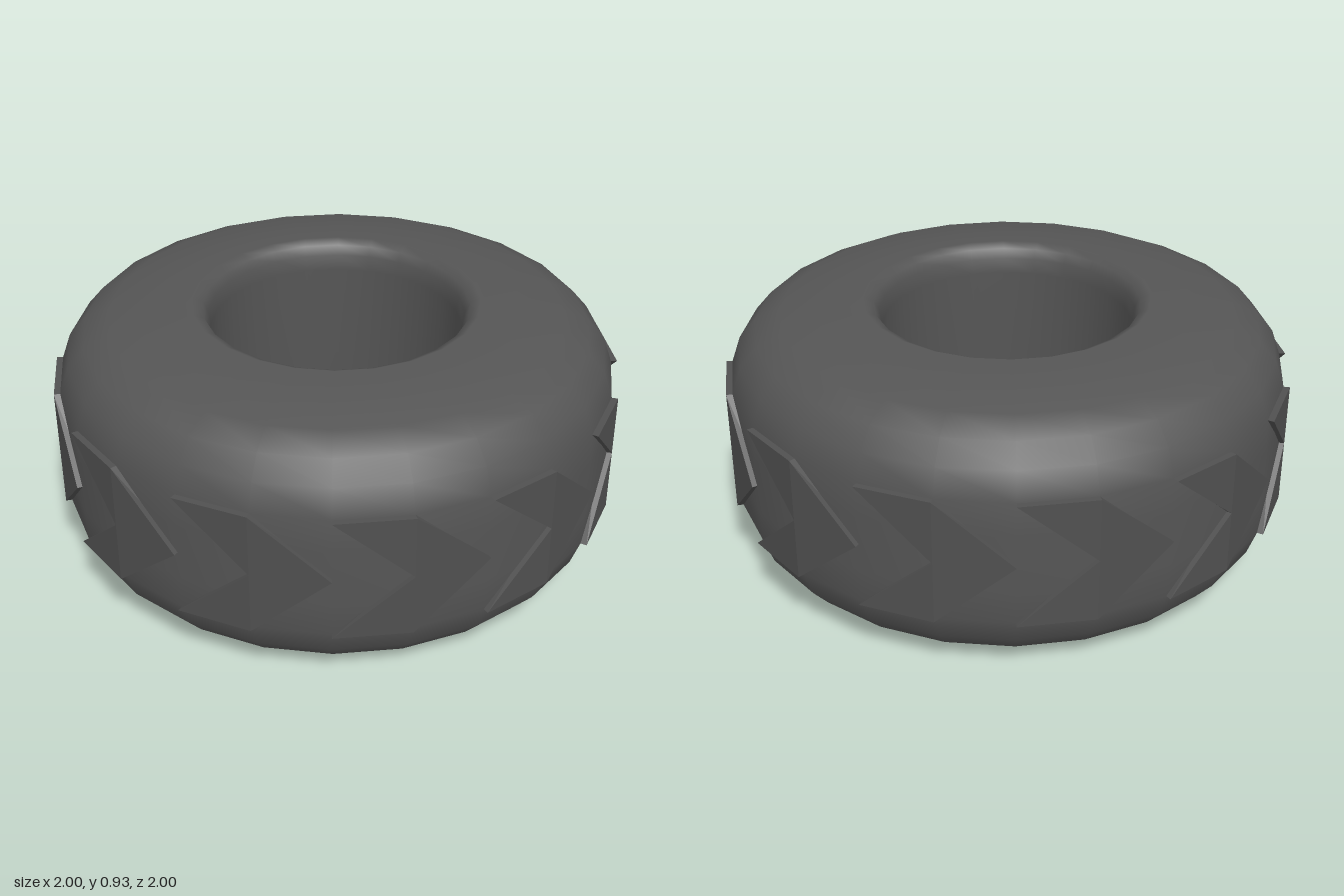
import * as THREE from 'three';

const MID = 0.465;      // mid height of the tyre
const HALF_TREAD = 0.222;
const STEP = Math.PI / 12;

// Upper half of the cross-section, from the outer wall over the shoulder to the bore: [radius, height above middle]
const HALF_PROFILE = [
  [0.982, 0.1], [0.978, 0.222], [0.945, 0.315], [0.885, 0.385], [0.795, 0.427],
  [0.65, 0.448], [0.5, 0.465], [0.467, 0.448], [0.45, 0.415], [0.443, 0.36],
];

function tyreBody(material) {
  const upper = HALF_PROFILE.map(([r, h]) => new THREE.Vector2(r, MID + h));
  const lower = HALF_PROFILE.map(([r, h]) => new THREE.Vector2(r, MID - h)).reverse();
  const bore = new THREE.Vector2(0.443, MID);
  const mesh = new THREE.Mesh(
    new THREE.LatheGeometry([bore, ...lower, ...upper, bore.clone()], 24), material);
  mesh.name = 'tyreBody';
  return mesh;
}

// Raised arrow-shaped block that follows the curve of the tyre
function chevronGeometry() {
  // outline as [angle step, height step], counter-clockwise from outside
  const outline = [[-2, 1], [-1, 0], [-2, -1], [-1, -1], [0, 0], [-1, 1]];
  const ring = (r) => outline.map(([a, h]) => new THREE.Vector3(
    r * Math.sin(a * STEP), MID + h * HALF_TREAD, r * Math.cos(a * STEP)));
  const outer = ring(1), inner = ring(0.955);
  const points = [];
  // face, folded along the middle of each arm
  for (const i of [0, 1, 5, 1, 4, 5, 1, 3, 4, 1, 2, 3]) points.push(outer[i]);
  // side walls
  for (let i = 0; i < 6; i++) {
    const j = (i + 1) % 6;
    points.push(inner[i], inner[j], outer[j], inner[i], outer[j], outer[i]);
  }
  const geometry = new THREE.BufferGeometry().setFromPoints(points);
  geometry.computeVertexNormals();
  return geometry;
}

export function createModel() {
  const tyre = new THREE.Group();
  tyre.name = 'tyre';
  const rubber = new THREE.MeshStandardMaterial({ color: 0x555555 });
  const treadRubber = new THREE.MeshStandardMaterial({ color: 0x505050, flatShading: true });
  tyre.add(tyreBody(rubber));

  // Twelve tread blocks around the rim
  const tread = new THREE.Group();
  tread.name = 'tread';
  const geometry = chevronGeometry();
  for (let i = 0; i < 12; i++) {
    const block = new THREE.Mesh(geometry, treadRubber);
    block.name = 'treadChevron';
    block.rotation.y = i * 2 * STEP;
    tread.add(block);
  }
  tyre.add(tread);
  return tyre;
}
